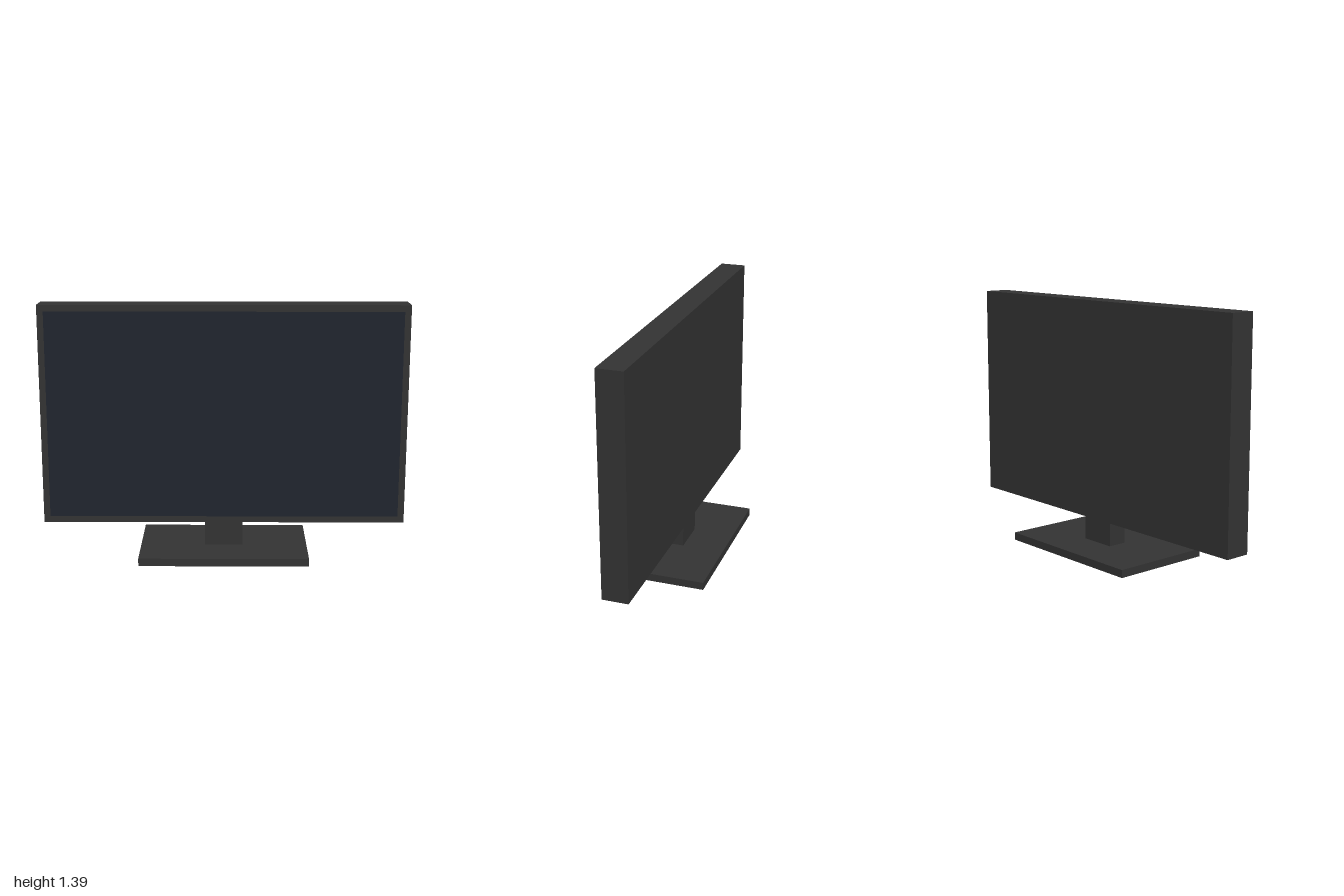
import * as THREE from 'three';

export function createModel() {
  const model = new THREE.Group();
  model.name = 'monitor';

  const casing = new THREE.MeshStandardMaterial({ color: 0x333333 });
  const glass = new THREE.MeshStandardMaterial({ color: 0x20252f });

  // Box given by its width, depth, vertical extent and centre depth
  function addBox(name, width, depth, bottom, top, z, material) {
    const mesh = new THREE.Mesh(new THREE.BoxGeometry(width, top - bottom, depth), material);
    mesh.name = name;
    mesh.position.set(0, (bottom + top) / 2, z);
    model.add(mesh);
  }

  // Stand
  addBox('base', 0.926, 0.572, 0, 0.043, 0, casing);
  addBox('neck', 0.21, 0.108, 0.043, 0.18, 0, casing);

  // Display housing
  addBox('housing', 2, 0.143, 0.18, 1.393, 0, casing);

  // Screen panel, just proud of the bezel
  const screen = new THREE.Mesh(new THREE.PlaneGeometry(1.93, 1.143), glass);
  screen.name = 'screen';
  screen.position.set(0, 0.7865, 0.0735);
  model.add(screen);

  return model;
}
